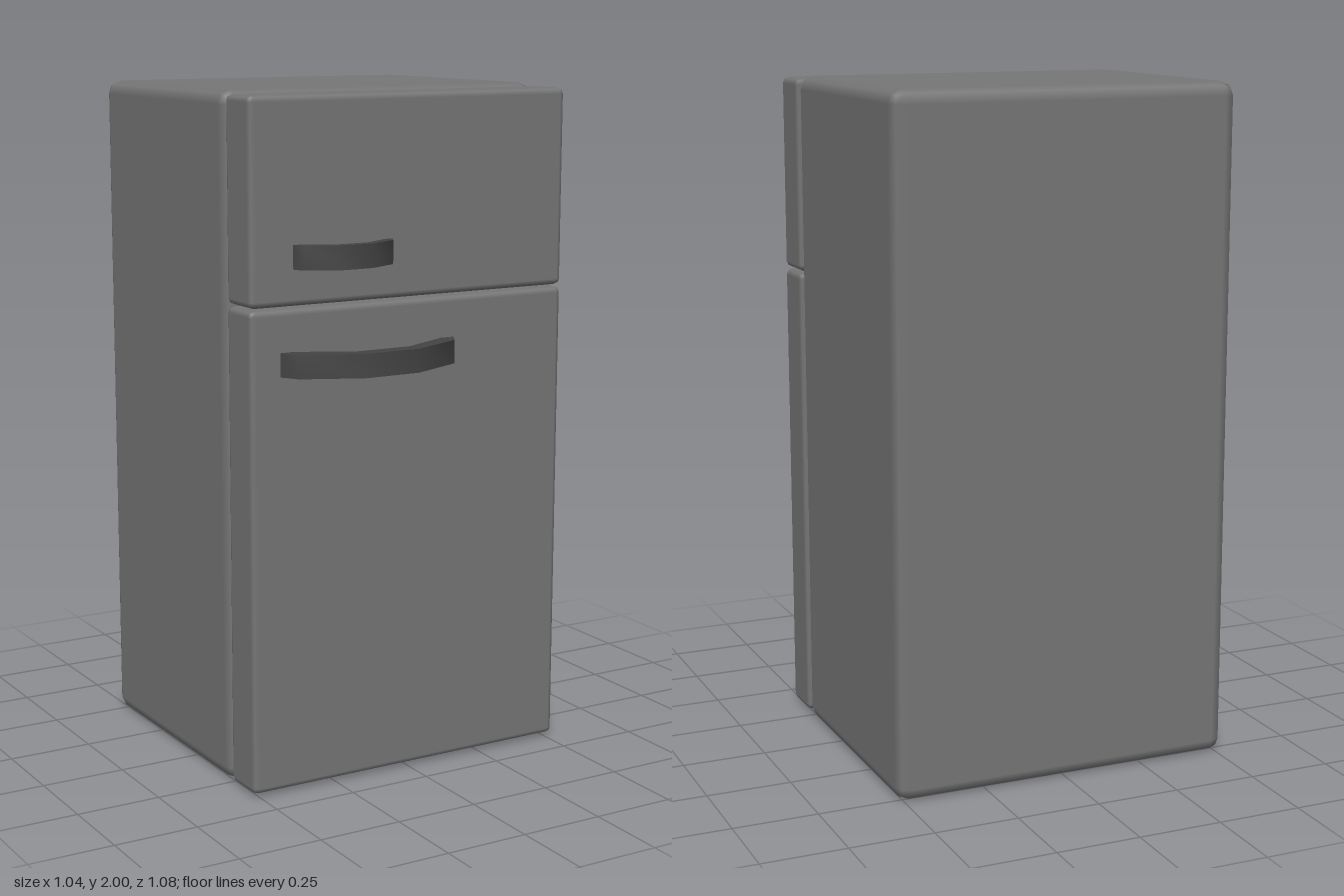
import * as THREE from 'three';
import { RoundedBoxGeometry } from 'three/addons/geometries/RoundedBoxGeometry.js';
import { toCreasedNormals } from 'three/addons/utils/BufferGeometryUtils.js';

const bodyMaterial = new THREE.MeshStandardMaterial({ color: 0x767676 });
const handleMaterial = new THREE.MeshStandardMaterial({ color: 0x444444 });

// Rounded block given by its limits in y and z, as wide as the cabinet
function block(name, y0, y1, z0, z1, radius) {
  const geometry = new RoundedBoxGeometry(1.044, y1 - y0, z1 - z0, 1, radius);
  const mesh = new THREE.Mesh(geometry, bodyMaterial);
  mesh.name = name;
  mesh.position.set(0, (y0 + y1) / 2, (z0 + z1) / 2);
  return mesh;
}

// Right half of the handle's bowed outline: x across, y away from the door
const outer = [[0.285, 0], [0.255, 0.052], [0.085, 0.13]];
const inner = [[0.085, 0.08], [0.245, -0.002]];

function handle(name, x, y, z, scaleX, scaleZ) {
  const mirror = (points) => points.map(([px, py]) => [-px, py]).reverse();
  const outline = [...outer, ...mirror(outer), ...mirror(inner), ...inner]
    .map(([px, py]) => new THREE.Vector2(px * scaleX, py * scaleZ));
  const height = 0.068;
  const geometry = new THREE.ExtrudeGeometry(new THREE.Shape(outline), { depth: height, bevelEnabled: false });
  // Lay the outline flat so that it bows towards the front
  geometry.rotateX(Math.PI / 2);
  geometry.translate(0, height / 2, 0);
  // Smooth along the bow, sharp at its rims and ends
  const mesh = new THREE.Mesh(toCreasedNormals(geometry, 0.75), handleMaterial);
  mesh.name = name;
  mesh.position.set(x, y, z);
  return mesh;
}

export function createModel() {
  const fridge = new THREE.Group();
  fridge.name = 'refrigerator';

  // Cabinet and the two doors
  fridge.add(block('cabinet', 0, 2, -0.538, 0.262, 0.04));
  fridge.add(block('freezerDoor', 1.412, 1.99, 0.262, 0.408, 0.018));
  fridge.add(block('fridgeDoor', 0.011, 1.406, 0.262, 0.408, 0.018));

  // Bowed handles
  fridge.add(handle('freezerHandle', -0.235, 1.55, 0.419, 0.56, 0.6));
  fridge.add(handle('fridgeHandle', -0.145, 1.252, 0.408, 1, 1));

  return fridge;
}
